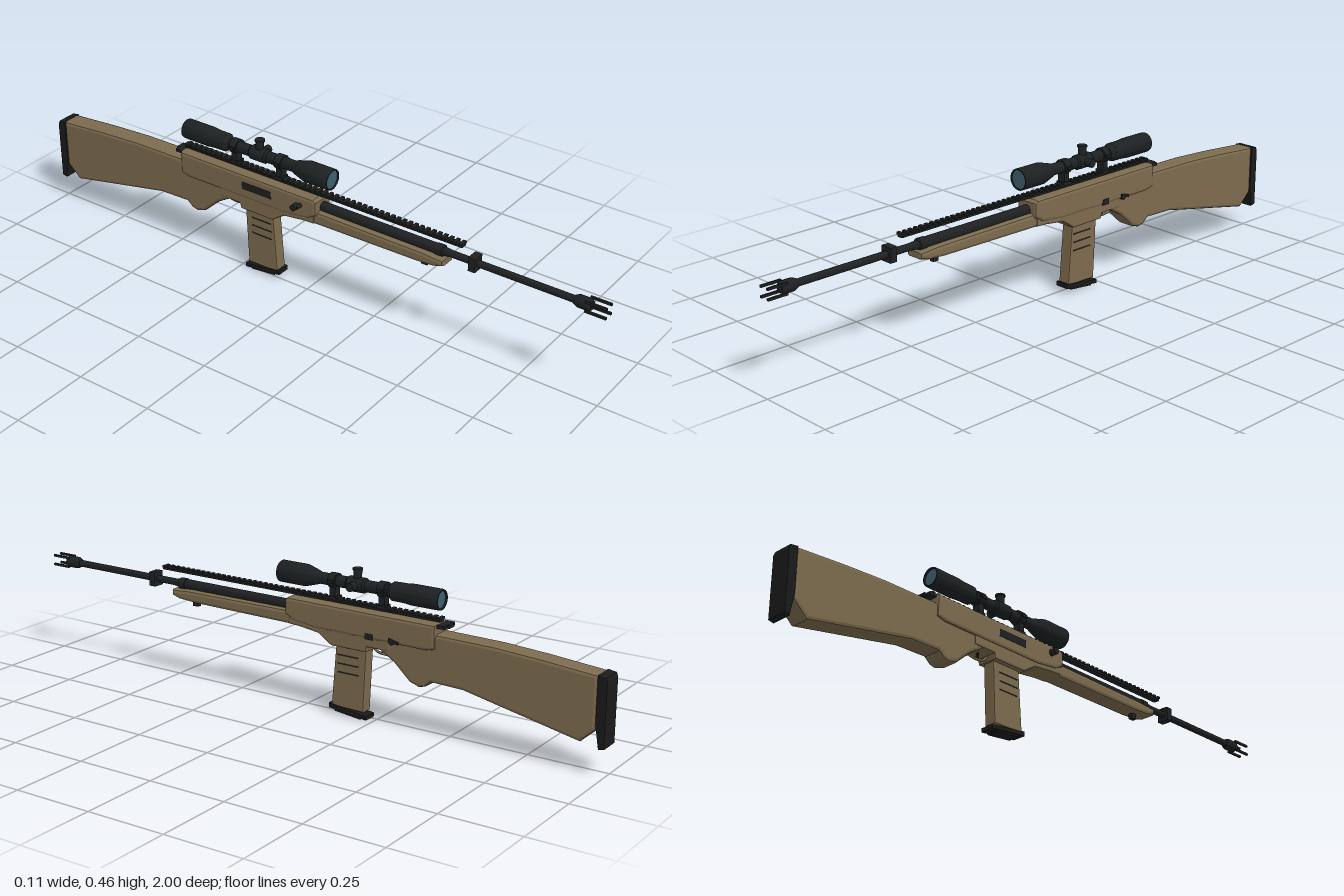
import * as THREE from 'three';
import { toCreasedNormals } from 'three/addons/utils/BufferGeometryUtils.js';

const mat = (name, color) => {
  const m = new THREE.MeshStandardMaterial({ color });
  m.name = name;
  return m;
};

export function createModel() {
  const tan = mat('tan polymer', 0x7c6b4e);
  const black = mat('black metal', 0x1f2021);
  const rubber = mat('black rubber', 0x1a1a1a);
  const scopeMat = mat('scope black', 0x1d2122);
  const glass = mat('blue glass', 0x40606f);

  const model = new THREE.Group();
  model.name = 'rifle';
  const body = new THREE.Group();
  body.name = 'body';
  body.position.x = 0.012;
  model.add(body);

  const add = (name, geo, material, x = 0, y = 0, z = 0) => {
    const mesh = new THREE.Mesh(geo, material);
    mesh.name = name;
    mesh.position.set(x, y, z);
    body.add(mesh);
    return mesh;
  };
  const box = (name, material, w, h, d, x, y, z) =>
    add(name, new THREE.BoxGeometry(w, h, d), material, x, y, z);
  // Side profile of [z, y] points, given a width in x and chamfered edges
  const slab = (name, material, pts, width, bevel) => {
    const shape = new THREE.Shape(pts.map(([z, y]) => new THREE.Vector2(z, y)));
    const geo = new THREE.ExtrudeGeometry(shape, {
      depth: width - 2 * bevel, bevelEnabled: bevel > 0, bevelThickness: bevel,
      bevelSize: bevel, bevelOffset: -bevel, bevelSegments: 2,
    });
    geo.translate(0, 0, bevel - width / 2).rotateY(-Math.PI / 2);
    return add(name, geo, material);
  };
  // Turned part along z from [radius, z] points, ordered back to front
  const turned = (name, material, pts, y, seg = 24) => {
    const geo = new THREE.LatheGeometry(pts.map(([r, z]) => new THREE.Vector2(r, z)), seg);
    return add(name, toCreasedNormals(geo.rotateX(Math.PI / 2), 0.5), material, 0, y, 0);
  };

  // Stock with grip
  slab('stock', tan, [
    [-0.25, 0.305], [-0.47, 0.314], [-0.66, 0.312], [-0.8, 0.304], [-0.972, 0.29],
    [-0.972, 0.133], [-0.925, 0.09], [-0.56, 0.164], [-0.455, 0.167], [-0.435, 0.15],
    [-0.415, 0.145], [-0.385, 0.155], [-0.33, 0.205], [-0.285, 0.232], [-0.25, 0.238],
  ], 0.068, 0.01);
  slab('buttPlate', rubber,
    [[-0.97, 0.291], [-0.995, 0.287], [-1, 0.275], [-1, 0.084], [-0.982, 0.08], [-0.97, 0.15]], 0.07, 0.003);

  // Receiver, lower housing and handguard
  slab('receiver', tan, [
    [0.05, 0.334], [0.04, 0.342], [-0.47, 0.342], [-0.47, 0.27], [-0.44, 0.262],
    [-0.06, 0.262], [0.02, 0.272], [0.05, 0.29],
  ], 0.081, 0.009);
  slab('lowerHousing', tan, [
    [0.04, 0.285], [-0.32, 0.285], [-0.32, 0.235], [-0.24, 0.235], [-0.235, 0.218],
    [-0.115, 0.218], [-0.07, 0.248], [0, 0.257], [0.04, 0.259],
  ], 0.073, 0.006);
  slab('handguard', tan, [
    [0.49, 0.292], [0.42, 0.297], [-0.02, 0.3], [-0.02, 0.256], [0.4, 0.26], [0.46, 0.264], [0.49, 0.273],
  ], 0.064, 0.01);
  box('slingStud', black, 0.014, 0.02, 0.02, 0, 0.253, 0.415);

  // Magazine
  slab('magazine', tan, [[-0.125, 0.24], [-0.23, 0.24], [-0.22, 0.024], [-0.108, 0.026]], 0.041, 0.004);
  slab('magazineBase', rubber, [[-0.1, 0.033], [-0.1, 0.018], [-0.232, 0.002], [-0.232, 0.015]], 0.047, 0.002);
  slab('magazineFoot', rubber, [[-0.12, 0.017], [-0.21, 0.008], [-0.21, 0], [-0.12, 0.01]], 0.04, 0);
  for (const y of [0.19, 0.163, 0.136])
    box('magazineRib', black, 0.043, 0.004, 0.074, 0, y, -0.167);

  // Trigger and guard
  const guard = new THREE.CatmullRomCurve3([[-0.235, 0.235], [-0.255, 0.217], [-0.29, 0.213], [-0.325, 0.222]]
    .map(([z, y]) => new THREE.Vector3(0, y, z)));
  add('triggerGuard', new THREE.TubeGeometry(guard, 10, 0.004, 6), tan);
  box('trigger', black, 0.008, 0.02, 0.006, 0, 0.228, -0.275);

  // Controls on both sides
  box('magazineCatch', black, 0.006, 0.018, 0.026, 0.039, 0.271, -0.25);
  const lever = box('safetyLever', black, 0.012, 0.008, 0.034, 0.039, 0.272, -0.335);
  lever.rotation.x = -0.25;
  const pivot = add('safetyPivot', new THREE.CylinderGeometry(0.009, 0.009, 0.011, 12), black, 0.039, 0.269, -0.328);
  pivot.rotation.z = Math.PI / 2;
  box('ejectionPort', black, 0.006, 0.024, 0.11, -0.039, 0.306, -0.17);
  const stem = add('chargingStem', new THREE.CylinderGeometry(0.007, 0.007, 0.03, 10), black, -0.048, 0.312, -0.005);
  stem.rotation.z = Math.PI / 2;
  const knob = add('chargingKnob', new THREE.CylinderGeometry(0.0105, 0.0105, 0.021, 12), black, -0.0595, 0.312, -0.012);
  knob.rotation.z = Math.PI / 2;
  box('rearTab', black, 0.06, 0.01, 0.026, 0, 0.337, -0.482);
  box('rearTabTip', black, 0.03, 0.008, 0.016, 0, 0.337, -0.495);

  // Barrel, front block and pronged muzzle
  turned('barrel', black, [
    [0, 0.02], [0.016, 0.02], [0.016, 0.46], [0.011, 0.5], [0.011, 0.915], [0, 0.915],
  ], 0.308, 16);
  turned('barrelCollar', black, [[0.01, 0.45], [0.018, 0.452], [0.018, 0.475], [0.01, 0.48]], 0.308, 16);
  slab('frontBlock', black,
    [[0.567, 0.285], [0.59, 0.285], [0.59, 0.331], [0.567, 0.331]], 0.042, 0.003);
  turned('muzzle', black, [
    [0, 0.895], [0.013, 0.895], [0.019, 0.908], [0.019, 0.942], [0.014, 0.95], [0.006, 0.95], [0.006, 0.94], [0, 0.94],
  ], 0.308, 12);
  for (let i = 0; i < 4; i++) {
    const a = Math.PI / 4 + i * Math.PI / 2;
    box('muzzleProng', black, 0.007, 0.007, 0.065, Math.cos(a) * 0.021, 0.308 + Math.sin(a) * 0.021, 0.9675);
  }

  // Toothed top rail
  box('railBase', black, 0.02, 0.007, 1.01, 0, 0.3485, 0.035);
  for (let i = 0; i < 51; i++)
    box('railTooth', black, 0.028, 0.007, 0.011, 0, 0.3545, 0.5345 - i * 0.02);

  // Scope
  const sy = 0.409;
  turned('scopeTube', scopeMat, [
    [0.026, -0.462], [0.026, -0.47], [0.03, -0.47], [0.0315, -0.465], [0.0315, -0.375], [0.029, -0.35],
    [0.0285, -0.31], [0.018, -0.295], [0.018, -0.055], [0.022, -0.045], [0.0335, -0.005],
    [0.0335, 0.083], [0.0325, 0.085], [0.0295, 0.085], [0.0295, 0.078],
  ], sy, 32);
  add('frontLens', new THREE.CircleGeometry(0.03, 32), glass, 0, sy, 0.08);
  add('rearLens', new THREE.CircleGeometry(0.027, 32), glass, 0, sy, -0.464).rotation.y = Math.PI;
  turned('turretCollar', scopeMat, [
    [0.018, -0.218], [0.023, -0.212], [0.023, -0.158], [0.018, -0.152],
  ], sy);
  add('topTurret', new THREE.CylinderGeometry(0.013, 0.013, 0.04, 16), scopeMat, 0, 0.435, -0.185);
  add('topTurretCap', new THREE.CylinderGeometry(0.0155, 0.0155, 0.006, 16), scopeMat, 0, 0.456, -0.185);
  const side = add('sideTurret', new THREE.CylinderGeometry(0.013, 0.013, 0.026, 16), scopeMat, 0.031, sy, -0.185);
  side.rotation.z = Math.PI / 2;
  // Two clamped mounts
  for (const z of [-0.105, -0.275]) {
    turned('mountRing', scopeMat, [
      [0.018, z - 0.012], [0.0235, z - 0.012], [0.0235, z + 0.012], [0.018, z + 0.012],
    ], sy);
    box('mountPost', scopeMat, 0.026, 0.036, 0.02, 0, 0.374, z);
    box('mountFoot', scopeMat, 0.032, 0.01, 0.028, 0, 0.358, z);
    for (const s of [-1, 1]) box('mountLug', scopeMat, 0.01, 0.009, 0.02, s * 0.023, sy, z);
  }
  return model;
}
